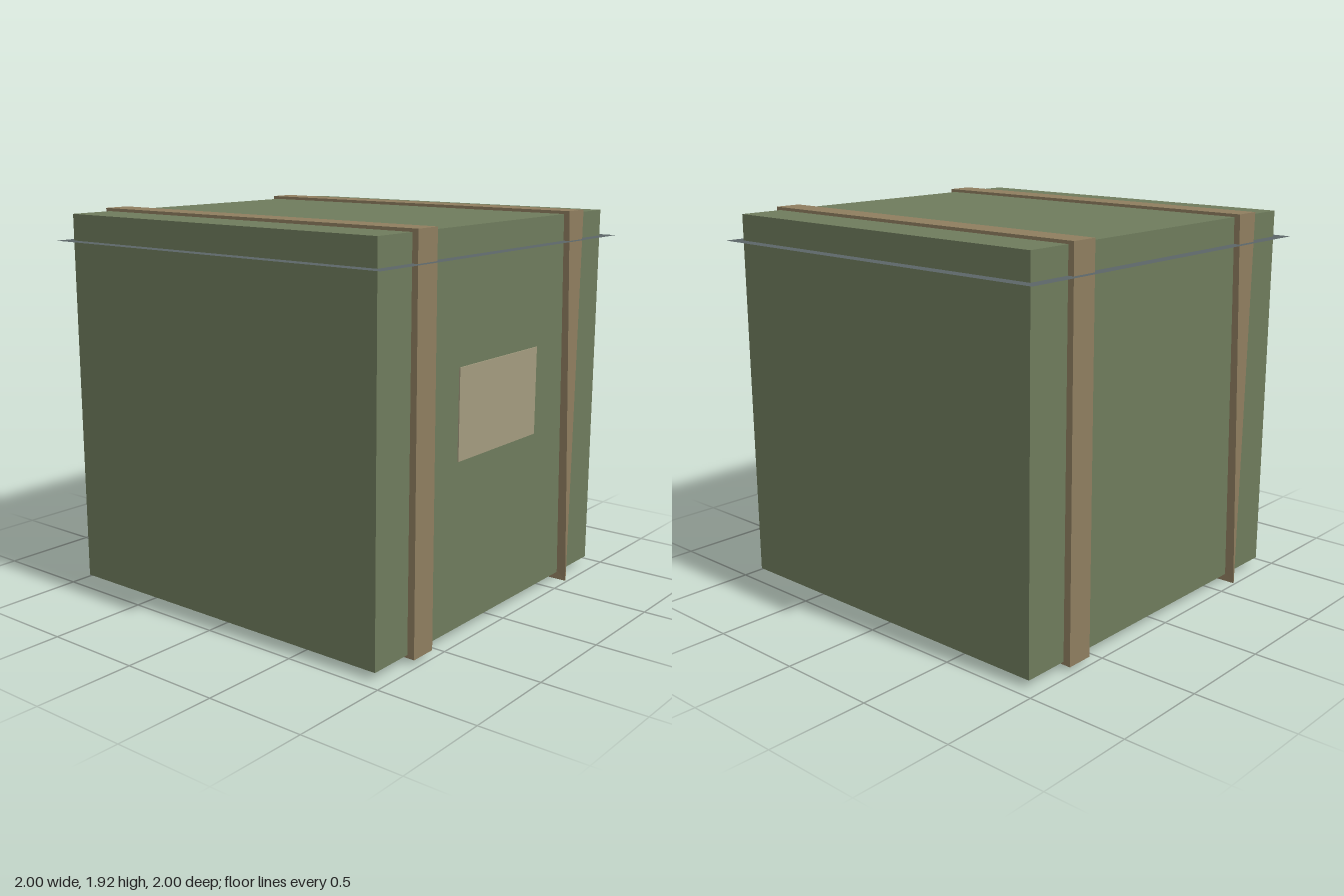
import * as THREE from 'three';

const paint = (name, color) => {
  const m = new THREE.MeshStandardMaterial({ color });
  m.name = name;
  return m;
};

// Closed band around the crate: each corner is [y, z, half width], front top first
function bandGeometry(corners, depth) {
  const rings = corners.map(([y, z, w]) => {
    const yi = y - Math.sign(y - 1) * depth;
    const zi = z - Math.sign(z) * depth;
    return [[-w, y, z], [w, y, z], [w, yi, zi], [-w, yi, zi]];
  });
  const pos = [];
  rings.forEach((a, i) => {
    const b = rings[(i + 1) % rings.length];
    for (let k = 0; k < 4; k++) {
      const n = (k + 1) % 4;
      pos.push(...a[k], ...a[n], ...b[n], ...a[k], ...b[n], ...b[k]);
    }
  });
  const g = new THREE.BufferGeometry();
  g.setAttribute('position', new THREE.Float32BufferAttribute(pos, 3));
  g.computeVertexNormals();
  return g;
}

export function createModel() {
  const model = new THREE.Group();
  model.name = 'strappedCrate';

  const green = paint('olive green', 0x6e7b5c);
  const tan = paint('tan webbing', 0x8e7d5f);
  const slate = paint('slate seam', 0x5b6567);
  const cream = paint('label beige', 0xa39b7f);
  slate.side = THREE.DoubleSide;

  const add = (name, geometry, material, x = 0, y = 0, z = 0) => {
    const mesh = new THREE.Mesh(geometry, material);
    mesh.name = name;
    mesh.position.set(x, y, z);
    model.add(mesh);
    return mesh;
  };

  // Crate body
  add('body', new THREE.BoxGeometry(1.876, 1.87, 1.876), green, 0, 0.975, 0);

  // Thin seam sheet under the lid
  const seam = new THREE.PlaneGeometry(2, 2).rotateX(-Math.PI / 2);
  add('lidSeam', seam, slate, 0, 1.78, 0);

  // Blank label on the front
  add('label', new THREE.BoxGeometry(0.667, 0.435, 0.008), cream, 0, 1.067, 0.94);

  // Straps, each pinched to a point at one lower corner
  const band = bandGeometry([
    [1.925, 0.968, 0.07],
    [1.925, -0.968, 0.07],
    [0.025, -0.975, 0.07],
    [0.003, 0.99, 0.002],
  ], 0.1);
  add('leftStrap', band, tan, 0.632, 0, 0);
  add('rightStrap', band, tan, -0.632, 0, 0).rotation.y = Math.PI;

  return model;
}
